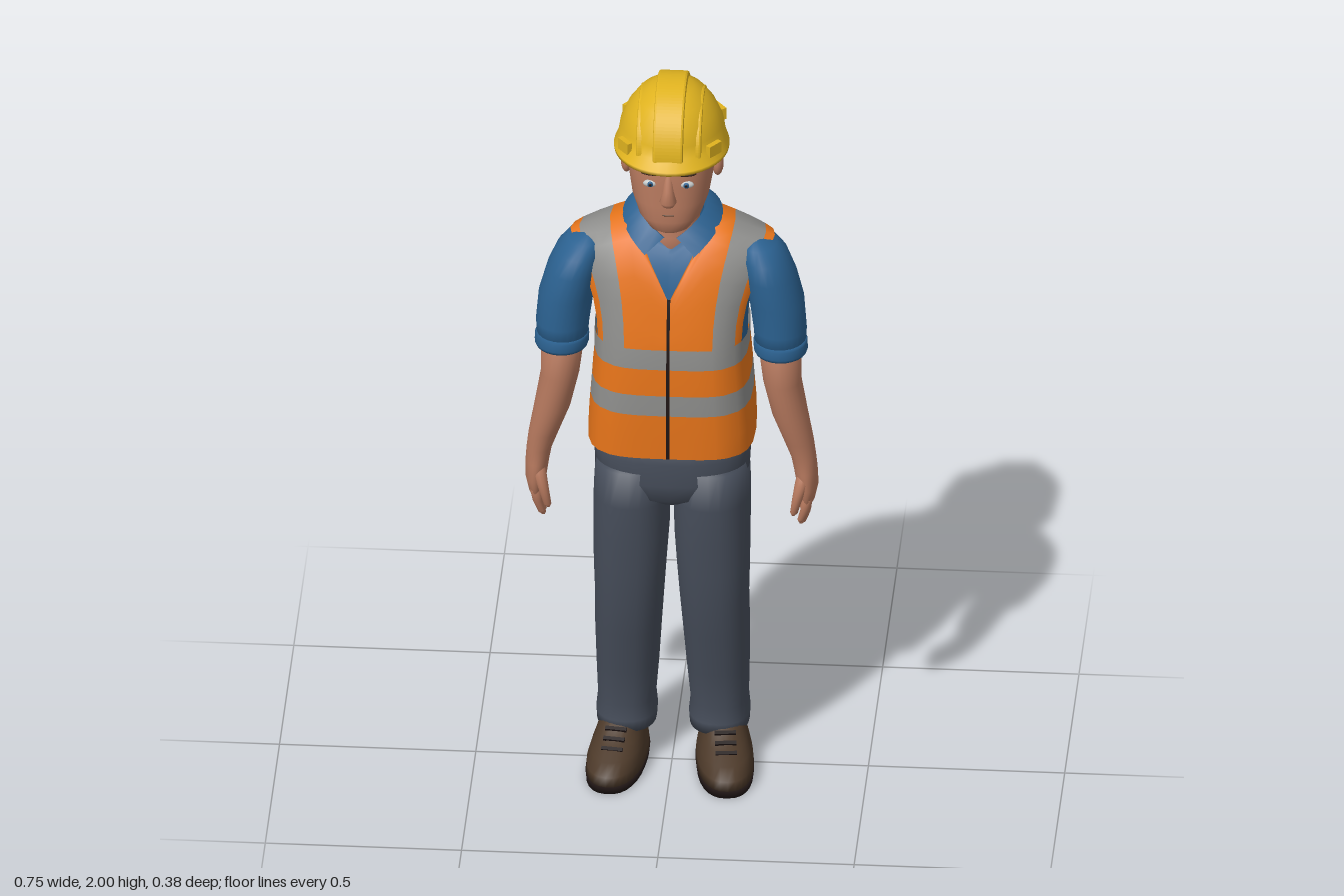
import * as THREE from 'three';
import { mergeVertices } from 'three/addons/utils/BufferGeometryUtils.js';

const mat = (name, color, side = THREE.FrontSide) => {
  const m = new THREE.MeshStandardMaterial({ color, side });
  m.name = name;
  return m;
};

function buildGeometry(positions, index) {
  const g = new THREE.BufferGeometry();
  g.setAttribute('position', new THREE.Float32BufferAttribute(positions, 3));
  g.setIndex(index);
  return g;
}

// Closed skin over horizontal rings [y, cx, cz, rx, rz], listed upwards; n is the squareness
function loft(rings, n = 2, seg = 24) {
  const pos = [], idx = [];
  const pw = (v) => Math.sign(v) * Math.abs(v) ** (2 / n);
  for (const [y, cx, cz, rx, rz] of rings) {
    for (let j = 0; j < seg; j++) {
      const a = (j / seg) * Math.PI * 2;
      pos.push(cx + rx * pw(Math.cos(a)), y, cz + rz * pw(Math.sin(a)));
    }
  }
  const last = (rings.length - 1) * seg, c0 = rings.length * seg;
  for (const r of [rings[0], rings[rings.length - 1]]) pos.push(r[1], r[0], r[2]);
  for (let j = 0; j < seg; j++) {
    const k = (j + 1) % seg;
    for (let o = 0; o < last; o += seg) idx.push(o + j, o + seg + j, o + k, o + k, o + seg + j, o + seg + k);
    idx.push(c0, j, k, c0 + 1, last + k, last + j);
  }
  const g = buildGeometry(pos, idx);
  g.computeVertexNormals();
  return g;
}

// Torso shell: fixed hem rows, then rows rising to the shoulder ridge and the neckline
const LOW = [[0.97, 0.213, 0.155, -0.19], [1.03, 0.212, 0.156, -0.186], [1.097, 0.207, 0.157, -0.18],
  [1.155, 0.203, 0.156, -0.172], [1.23, 0.197, 0.153, -0.165], [1.285, 0.197, 0.148, -0.16]];
const HIGH = [0.2, 0.4, 0.6, 0.75, 0.87, 0.95, 1];
const HALF = [1, 0.985, 0.93, 0.85, 0.7, 0.57, 0.39, 0.2, 0.02];
const ACROSS = [...HALF, ...HALF.map((u) => -u).reverse()];
const LOOP = [...ACROSS.map((u) => [u, true]), ...ACROSS.slice(1, -1).reverse().map((u) => [u, false])];

function torsoPoint([u, front], row, vY, fit) {
  const a = Math.abs(u), zm = -0.02, inner = Math.max(0, 1 - a / 0.39);
  let y, w, zf, zb, f = 1, s = 0;
  if (row < LOW.length) [y, w, zf, zb] = LOW[row];
  else {
    const vs = (vY - 1.285) / 0.315;
    s = HIGH[row - LOW.length] * (1 - inner * (front ? 1 - vs : 0.08));
    const ridge = 1.6 - Math.max(0, a - 0.39) * 0.11 + (front ? 0 : Math.min(1, inner * 2) * 0.03);
    y = 1.285 + (ridge - 1.285) * s - (1 - fit) * 0.25 * s;
    w = 0.197 + 0.083 * s * s;
    zf = 0.148 - 0.06 * s;
    zb = -0.16 + 0.01 * s;
    f = front ? (1 - s ** 5) ** 0.6 : Math.sqrt(1 - s ** 10);
  }
  const round = Math.max(0, 1 - a ** 4) ** 0.33;
  return [u * w * fit, y, zm + ((front ? zf : zb) - zm) * round * f * (fit === 1 ? 1 : fit - 0.03)];
}

function torso(vY, fit, paint, colours) {
  const pos = [], lists = Array.from({ length: colours }, () => []);
  const rows = LOW.length + HIGH.length, n = LOOP.length;
  for (let i = 0; i < rows; i++) for (const c of LOOP) pos.push(...torsoPoint(c, i, vY, fit));
  for (let i = 0; i < rows - 1; i++) for (let j = 0; j < n; j++) {
    const k = (j + 1) % n, p = paint(LOOP[j], LOOP[k], i);
    if (p < 0) continue;
    const a = i * n + j, c = i * n + k;
    lists[p].push(a, a + n, c, c, a + n, c + n);
  }
  const g = mergeVertices(buildGeometry(pos, lists.flat()), 1e-5);
  let start = 0;
  lists.forEach((l, i) => { g.addGroup(start, l.length, i); start += l.length; });
  g.computeVertexNormals();
  return g;
}

// Vest colours: 0 orange, 1 reflective, 2 dark zip, -1 armhole
function vestPaint([u1, f1], [u2, f2], row) {
  const lo = Math.min(Math.abs(u1), Math.abs(u2)), hi = Math.max(Math.abs(u1), Math.abs(u2));
  if (row >= 5 && lo >= 0.93) return -1;
  if (hi <= 0.02 && f1 && f2) return 2;
  if (row === 2 || row === 4) return 1;
  return row >= 5 && lo >= 0.57 && hi <= 0.85 ? 1 : 0;
}

// Folded collar, open at the front with two points
function collarGeometry() {
  const pos = [], idx = [], n = 28;
  for (let i = 0; i <= n; i++) {
    const t = (i / n) * 2 - 1, q = Math.abs(t), a = t * 2.95, b = t * 2.62;
    pos.push(0.08 * Math.sin(a), 1.625 - 0.06 * q ** 3, -0.02 - 0.078 * Math.cos(a));
    pos.push(0.09 * Math.sin(a), 1.66 - 0.09 * q ** 2.5, -0.02 - 0.09 * Math.cos(a));
    pos.push(0.128 * Math.sin(b), 1.61 - 0.08 * q ** 3, -0.025 - 0.132 * Math.cos(b));
    if (i < n) for (let r = 0; r < 2; r++) {
      const o = i * 3 + r;
      idx.push(o, o + 1, o + 3, o + 3, o + 1, o + 4);
    }
  }
  const g = buildGeometry(pos, idx);
  g.computeVertexNormals();
  return g;
}

// Raised rib running front to back over the helmet
function ribGeometry(x, width, rz, ry) {
  const shape = new THREE.Shape();
  shape.absellipse(0, 0, rz, ry, 0, Math.PI, false);
  const g = new THREE.ExtrudeGeometry(shape, { depth: width, bevelSize: 0.006, bevelThickness: 0.006, bevelSegments: 2, curveSegments: 28 });
  return g.rotateY(-Math.PI / 2).translate(x + width / 2, 1.84, 0);
}

export function createModel() {
  const orange = mat('vest orange', 0xe8751a, THREE.DoubleSide), silver = mat('reflective grey', 0x8e8e8c, THREE.DoubleSide);
  const blue = mat('shirt blue', 0x2b6190, THREE.DoubleSide), denim = mat('trouser slate', 0x464d5a);
  const skin = mat('skin', 0xb87a5f), hairM = mat('hair brown', 0x3d2818), yellow = mat('helmet yellow', 0xe0b31f);
  const leather = mat('shoe brown', 0x4c3929), dark = mat('dark trim', 0x1f1514, THREE.DoubleSide), white = mat('eye white', 0xc4c8c8);

  const model = new THREE.Group();
  model.name = 'worker';
  const add = (name, geometry, material, parent = model) => {
    const m = new THREE.Mesh(geometry, material);
    m.name = name;
    parent.add(m);
    return m;
  };
  const ball = (name, material, p, s) => {
    const m = add(name, new THREE.SphereGeometry(1, 16, 12), material);
    m.position.set(...p);
    m.scale.set(...s);
    return m;
  };

  // Clothing on the torso
  add('vest', torso(1.41, 1, vestPaint, 3), [orange, silver, dark]);
  add('shirt', torso(1.54, 0.97, () => 0, 1), [blue]);
  add('collar', collarGeometry(), blue);
  add('vestLining', loft([[0.973, 0, -0.018, 0.208, 0.166], [0.98, 0, -0.018, 0.205, 0.163]], 3), dark);
  add('hips', loft([[0.79, 0, -0.015, 0.05, 0.09], [0.82, 0, -0.015, 0.15, 0.128], [0.87, 0, -0.017, 0.197, 0.143],
    [0.93, 0, -0.026, 0.2, 0.147], [0.99, 0, -0.03, 0.2, 0.148]], 2.5, 32), denim);

  // Head and neck
  add('neck', loft([[1.49, 0, 0, 0.075, 0.062], [1.56, 0, -0.012, 0.072, 0.066], [1.62, 0, -0.02, 0.068, 0.066], [1.72, 0, -0.02, 0.07, 0.07]]), skin);
  add('head', loft([[1.612, 0, 0.085, 0.028, 0.03], [1.625, 0, 0.08, 0.052, 0.053], [1.655, 0, 0.056, 0.08, 0.084],
    [1.7, 0, 0.034, 0.098, 0.106], [1.75, 0, 0.018, 0.107, 0.12], [1.8, 0, 0.012, 0.112, 0.126], [1.86, 0, 0, 0.112, 0.125]], 2.3, 32), skin);
  add('hair', loft([[1.69, 0, -0.045, 0.065, 0.052], [1.715, 0, -0.055, 0.094, 0.07], [1.76, 0, -0.065, 0.114, 0.076],
    [1.8, 0, -0.055, 0.121, 0.09], [1.835, 0, -0.045, 0.123, 0.1]], 2.4), hairM);
  add('hairline', loft([[1.807, 0, 0, 0.115, 0.138], [1.835, 0, 0, 0.118, 0.138]], 2.3), hairM);
  add('nose', loft([[1.703, 0, 0.135, 0.014, 0.012], [1.718, 0, 0.138, 0.022, 0.022], [1.75, 0, 0.133, 0.014, 0.017],
    [1.79, 0, 0.128, 0.01, 0.011]], 2, 14), skin);
  ball('mouth', leather, [0, 1.677, 0.131], [0.028, 0.004, 0.01]);

  // Hard hat
  const hat = loft([[1.83, 0, -0.005, 0.12, 0.135], [1.812, 0, 0.012, 0.146, 0.178], [1.822, 0, 0.012, 0.147, 0.179],
    [1.842, 0, -0.003, 0.137, 0.158], [1.88, 0, -0.002, 0.131, 0.152], [1.92, 0, 0, 0.114, 0.135],
    [1.955, 0, 0, 0.088, 0.108], [1.978, 0, 0, 0.055, 0.07], [1.989, 0, 0, 0.02, 0.03]], 2, 40);
  const hp = hat.attributes.position;
  for (let i = 0; i < hp.count; i++) if (hp.getY(i) < 1.85) hp.setY(i, hp.getY(i) + hp.getZ(i) * 0.05);
  hat.computeVertexNormals();
  add('helmet', hat, yellow);
  add('helmetRib', ribGeometry(0, 0.065, 0.155, 0.154), yellow);

  for (const s of [1, -1]) {
    const side = (rings) => rings.map(([y, cx, cz, rx, rz]) => [y, cx * s, cz, rx, rz]);
    const tag = s > 0 ? 'left' : 'right';

    // Face and helmet details
    ball(tag + 'Ear', skin, [0.116 * s, 1.755, -0.005], [0.015, 0.034, 0.023]);
    ball(tag + 'Eye', white, [0.046 * s, 1.765, 0.128], [0.019, 0.01, 0.009]);
    ball(tag + 'Iris', blue, [0.046 * s, 1.765, 0.1345], [0.008, 0.008, 0.004]);
    ball(tag + 'Pupil', dark, [0.046 * s, 1.765, 0.1375], [0.004, 0.004, 0.002]);
    const brow = ball(tag + 'Brow', hairM, [0.047 * s, 1.794, 0.128], [0.025, 0.005, 0.008]);
    brow.rotation.y = 0.2 * s;
    add(tag + 'HelmetRib', ribGeometry(0.073 * s, 0.008, 0.127, 0.118), yellow);
    for (const z of [0.095, -0.1]) {
      const clip = add(tag + 'HelmetClip', new THREE.BoxGeometry(0.014, 0.032, 0.045), yellow);
      clip.position.set(0.113 * s, 1.853, z);
      clip.rotation.y = -Math.sign(z) * s * 0.65;
    }

    // Arm: sleeve, rolled cuff, forearm with palm
    add(tag + 'Sleeve', loft(side([[1.24, 0.278, 0.028, 0.064, 0.071], [1.3, 0.277, 0.024, 0.068, 0.076], [1.38, 0.268, 0.016, 0.07, 0.084],
      [1.45, 0.25, 0.008, 0.068, 0.092], [1.5, 0.235, 0, 0.06, 0.088], [1.53, 0.222, -0.01, 0.045, 0.068], [1.545, 0.21, -0.018, 0.015, 0.025]])), blue);
    add(tag + 'SleeveCuff', loft(side([[1.232, 0.279, 0.028, 0.066, 0.073], [1.24, 0.279, 0.028, 0.069, 0.076], [1.262, 0.278, 0.027, 0.069, 0.077],
      [1.27, 0.278, 0.026, 0.065, 0.073]])), blue);
    add(tag + 'Arm', loft(side([[0.775, 0.344, -0.004, 0.013, 0.04], [0.79, 0.345, -0.002, 0.02, 0.05], [0.83, 0.346, 0.004, 0.027, 0.055],
      [0.88, 0.342, 0.015, 0.03, 0.045], [0.92, 0.337, 0.022, 0.032, 0.036], [0.97, 0.325, 0.026, 0.038, 0.043],
      [1.05, 0.303, 0.03, 0.046, 0.052], [1.15, 0.283, 0.032, 0.049, 0.06], [1.27, 0.275, 0.03, 0.056, 0.064]])), skin);

    // Fingers and thumb
    [[0.036, 0.725], [0.01, 0.706], [-0.016, 0.702], [-0.041, 0.718]].forEach(([z, tip]) => {
      add(tag + 'Finger', loft(side([[tip, 0.328, z - 0.012, 0.004, 0.004], [tip + 0.008, 0.331, z - 0.011, 0.01, 0.01],
        [tip + 0.04, 0.341, z - 0.005, 0.012, 0.012], [0.8, 0.346, z, 0.014, 0.014]]), 2, 12), skin);
    });
    add(tag + 'Thumb', loft(side([[0.755, 0.312, 0.045, 0.004, 0.004], [0.765, 0.314, 0.047, 0.01, 0.01], [0.805, 0.322, 0.053, 0.013, 0.013],
      [0.85, 0.333, 0.046, 0.017, 0.018], [0.89, 0.34, 0.03, 0.015, 0.015]]), 2, 12), skin);

    // Trouser leg
    add(tag + 'TrouserLeg', loft(side([[0.1, 0.118, -0.05, 0.076, 0.094], [0.13, 0.118, -0.05, 0.078, 0.096], [0.17, 0.118, -0.052, 0.074, 0.088],
      [0.28, 0.115, -0.038, 0.08, 0.093], [0.4, 0.112, -0.018, 0.085, 0.1], [0.5, 0.108, -0.002, 0.088, 0.103],
      [0.6, 0.106, 0.006, 0.093, 0.106], [0.7, 0.103, 0, 0.097, 0.12], [0.8, 0.102, -0.012, 0.098, 0.138], [0.9, 0.1, -0.018, 0.095, 0.14]]), 2.3, 28), denim);

    // Shoe
    const shoe = new THREE.Group();
    shoe.name = tag + 'Shoe';
    shoe.position.x = 0.133 * s;
    shoe.rotation.y = 0.12 * s;
    model.add(shoe);
    add('sole', loft([[0, 0, 0.027, 0.072, 0.165], [0.02, 0, 0.027, 0.074, 0.167]], 2.4, 28), dark, shoe);
    add('upper', loft([[0.018, 0, 0.027, 0.073, 0.166], [0.045, 0, 0.026, 0.072, 0.163], [0.068, 0, 0.01, 0.066, 0.142],
      [0.085, 0, -0.015, 0.06, 0.113], [0.11, 0, -0.035, 0.055, 0.088], [0.14, 0, -0.05, 0.05, 0.07]], 2.3, 28), leather, shoe);
    for (let i = 0; i < 3; i++) {
      const lace = add('lace', new THREE.BoxGeometry(0.055, 0.008, 0.01), dark, shoe);
      lace.position.set(0, 0.082 + i * 0.015, 0.105 - i * 0.026);
      lace.rotation.x = 0.5;
    }
  }
  return model;
}
